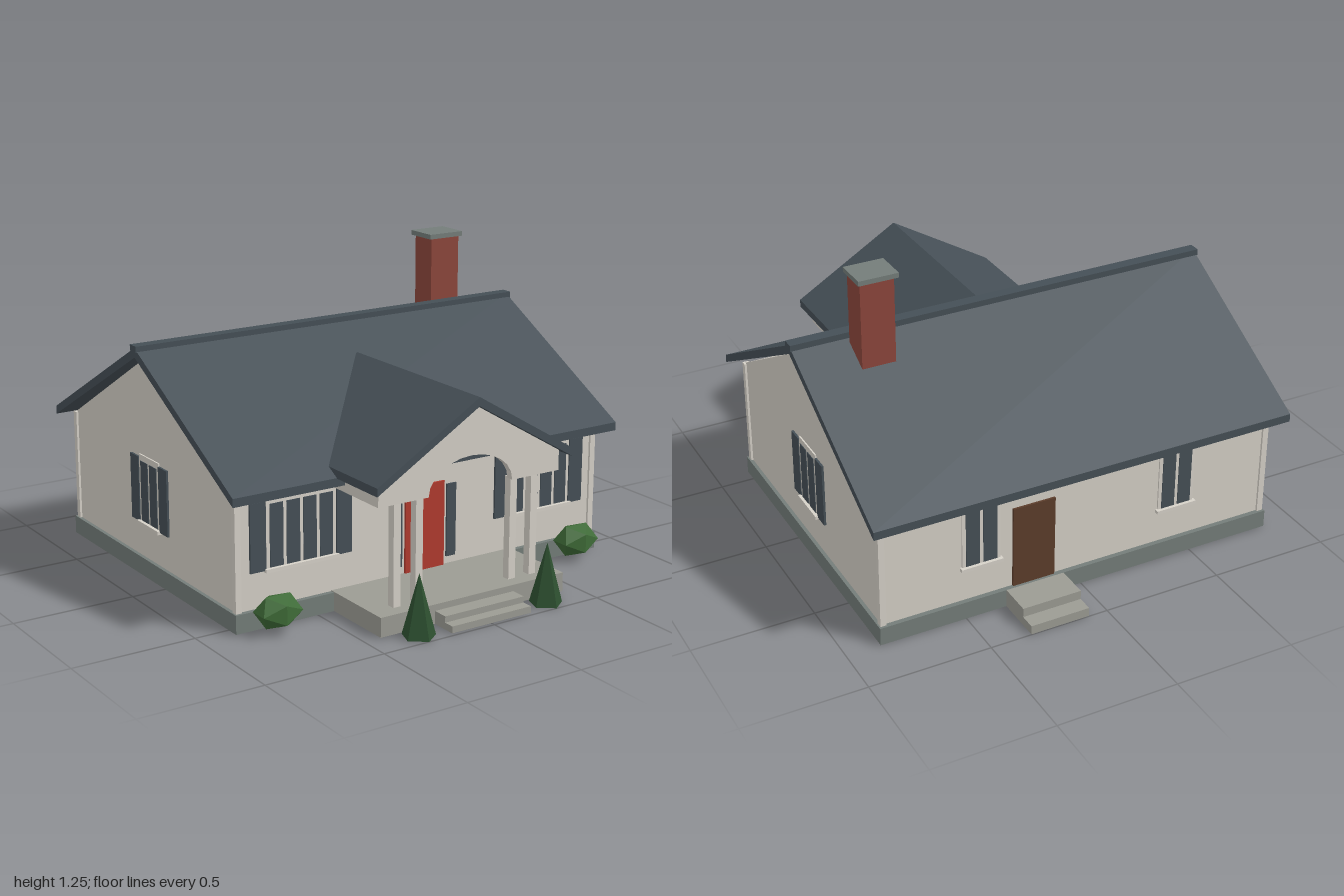
import * as THREE from 'three';

const mat = (name, color, extra = {}) => {
  const m = new THREE.MeshStandardMaterial({ color, ...extra });
  m.name = name;
  return m;
};

export function createModel() {
  const house = new THREE.Group();
  house.name = 'house';
  const wall = mat('warm white wall', 0xd4cfc6);
  const trim = mat('pale trim', 0xd6d1c8);
  const slate = mat('dark slate', 0x454f56);
  const foundation = mat('grey foundation', 0x747d79);
  const stone = mat('light stone', 0x9b9b93);
  const brick = mat('red brick', 0x8c463b);
  const red = mat('red door paint', 0xb03a2e);
  const brown = mat('brown door paint', 0x5c3d2b);
  const leaf = mat('bush green', 0x3f6b38, { flatShading: true });
  const pine = mat('conifer green', 0x2d5030, { flatShading: true });

  const add = (name, geometry, material, parent = house) => {
    const mesh = new THREE.Mesh(geometry, material);
    mesh.name = name;
    parent.add(mesh);
    return mesh;
  };
  // box given by its minimum and maximum on each axis
  const box = (name, material, x0, x1, y0, y1, z0, z1, parent) => {
    const m = add(name, new THREE.BoxGeometry(x1 - x0, y1 - y0, z1 - z0), material, parent);
    m.position.set((x0 + x1) / 2, (y0 + y1) / 2, (z0 + z1) / 2);
    return m;
  };
  const shapeOf = (pts) => new THREE.Shape(pts.map(([x, y]) => new THREE.Vector2(x, y)));
  const extrude = (shape, depth) => new THREE.ExtrudeGeometry(shape, { depth, bevelEnabled: false });
  // profile in (z, y), extruded along x and centred on it
  const alongX = (pts, width) =>
    extrude(shapeOf(pts), width).rotateY(-Math.PI / 2).translate(width / 2, 0, 0);

  // foundation and walls
  box('foundation', foundation, -0.86, 0.86, 0.005, 0.08, -0.8, 0.56);
  add('walls', alongX([[0.54, 0.08], [0.54, 0.545], [-0.12, 0.92], [-0.78, 0.545], [-0.78, 0.08]], 1.69), wall);
  for (const sx of [-1, 1]) {
    for (const z of [0.537, -0.777]) {
      const post = box('cornerTrim', trim, -0.0125, 0.0125, 0.08, 0.545, -0.0125, 0.0125);
      post.position.x = sx * 0.8415;
      post.position.z = z;
    }
  }

  // main roof with ridge cap
  add('mainRoof', alongX([[0.62, 0.523], [0.62, 0.557], [-0.12, 0.96], [-0.86, 0.557], [-0.86, 0.523], [-0.12, 0.922]], 1.8), slate);
  box('ridgeCap', slate, -0.905, 0.905, 0.945, 0.97, -0.147, -0.098);

  // chimney
  box('chimney', brick, 0.53, 0.67, 0.82, 1.232, -0.278, -0.163);
  box('chimneyCap', foundation, 0.515, 0.68, 1.23, 1.25, -0.29, -0.15);

  // porch roof, running back into the main slope
  const porchRoof = add('porchRoof', extrude(shapeOf([
    [-0.455, 0.555], [0, 0.825], [0.455, 0.555], [0.455, 0.588], [0, 0.86], [-0.455, 0.588]]), 0.815), slate);
  porchRoof.position.z = 0.07;

  // porch gable with a faceted arch
  const gable = [[-0.195, 0.495], [-0.42, 0.495], [-0.42, 0.576], [0, 0.828], [0.42, 0.576], [0.42, 0.495], [0.195, 0.495]];
  for (let i = 1; i < 12; i++) {
    const a = (i / 12) * Math.PI;
    gable.push([0.195 * Math.cos(a), 0.495 + 0.13 * Math.sin(a)]);
  }
  add('porchGable', extrude(shapeOf(gable), 0.03), wall).position.z = 0.81;

  // porch floor, steps and columns
  box('porchFloor', stone, -0.43, 0.43, 0.005, 0.083, 0.54, 0.875);
  box('upperStep', stone, -0.185, 0.185, 0.005, 0.057, 0.875, 0.94);
  box('lowerStep', stone, -0.185, 0.185, 0.005, 0.032, 0.875, 0.985);
  for (const sx of [-1, 1]) {
    const beam = box('porchBeam', wall, -0.015, 0.015, 0.495, 0.57, 0.53, 0.82);
    beam.position.x = sx * 0.405;
    for (const x of [0.22, 0.32]) {
      const column = box('porchColumn', trim, -0.016, 0.016, 0.083, 0.497, 0.785, 0.819);
      column.position.x = sx * x;
    }
  }

  // back steps
  box('backUpperStep', stone, 0.08, 0.33, 0.005, 0.08, -0.935, -0.8);
  box('backLowerStep', stone, 0.08, 0.33, 0.005, 0.042, -1, -0.8);

  // doors and sidelights
  box('frontDoor', red, -0.092, 0.092, 0.083, 0.432, 0.54, 0.549);
  for (const x of [-0.128, 0.128]) box('sidelight', slate, x - 0.022, x + 0.022, 0.114, 0.414, 0.54, 0.547);
  box('backDoor', brown, 0.115, 0.295, 0.08, 0.43, -0.789, -0.78);

  // window built facing +z on its own wall plane
  const makeWindow = (panes, shutters, x, z, turn) => {
    const g = new THREE.Group();
    g.name = 'window';
    const half = (panes * 0.073 + 0.015) / 2;
    box('windowFrame', trim, -half, half, 0.225, 0.507, 0, 0.006, g);
    box('windowSill', trim, -half - 0.008, half + 0.008, 0.218, 0.232, 0, 0.02, g);
    for (let i = 0; i < panes; i++) {
      const px = (i - (panes - 1) / 2) * 0.073;
      box('windowPane', slate, px - 0.029, px + 0.029, 0.234, 0.482, 0.004, 0.009, g);
    }
    if (shutters) {
      for (const sx of [-1, 1]) {
        const s = box('shutter', slate, -0.034, 0.034, 0.225, 0.495, 0, 0.009, g);
        s.position.x = sx * (half + 0.036);
      }
    }
    g.position.set(x, 0, z);
    g.rotation.y = turn;
    house.add(g);
  };
  for (const s of [-1, 1]) {
    makeWindow(4, true, s * 0.565, 0.54, 0);
    makeWindow(2, true, s * 0.845, -0.125, s * Math.PI / 2);
    makeWindow(2, false, s * 0.43, -0.78, Math.PI);
  }

  // planting
  for (const s of [-1, 1]) {
    const bush = add('bush', new THREE.IcosahedronGeometry(1, 0), leaf);
    bush.scale.set(0.1, 0.073, 0.076);
    bush.position.set(s * 0.712, 0.087, 0.615);
    const conifer = add('conifer', new THREE.ConeGeometry(0.067, 0.247, 5), pine);
    conifer.position.set(s * 0.3, 0.1265, 0.933);
  }
  return house;
}
